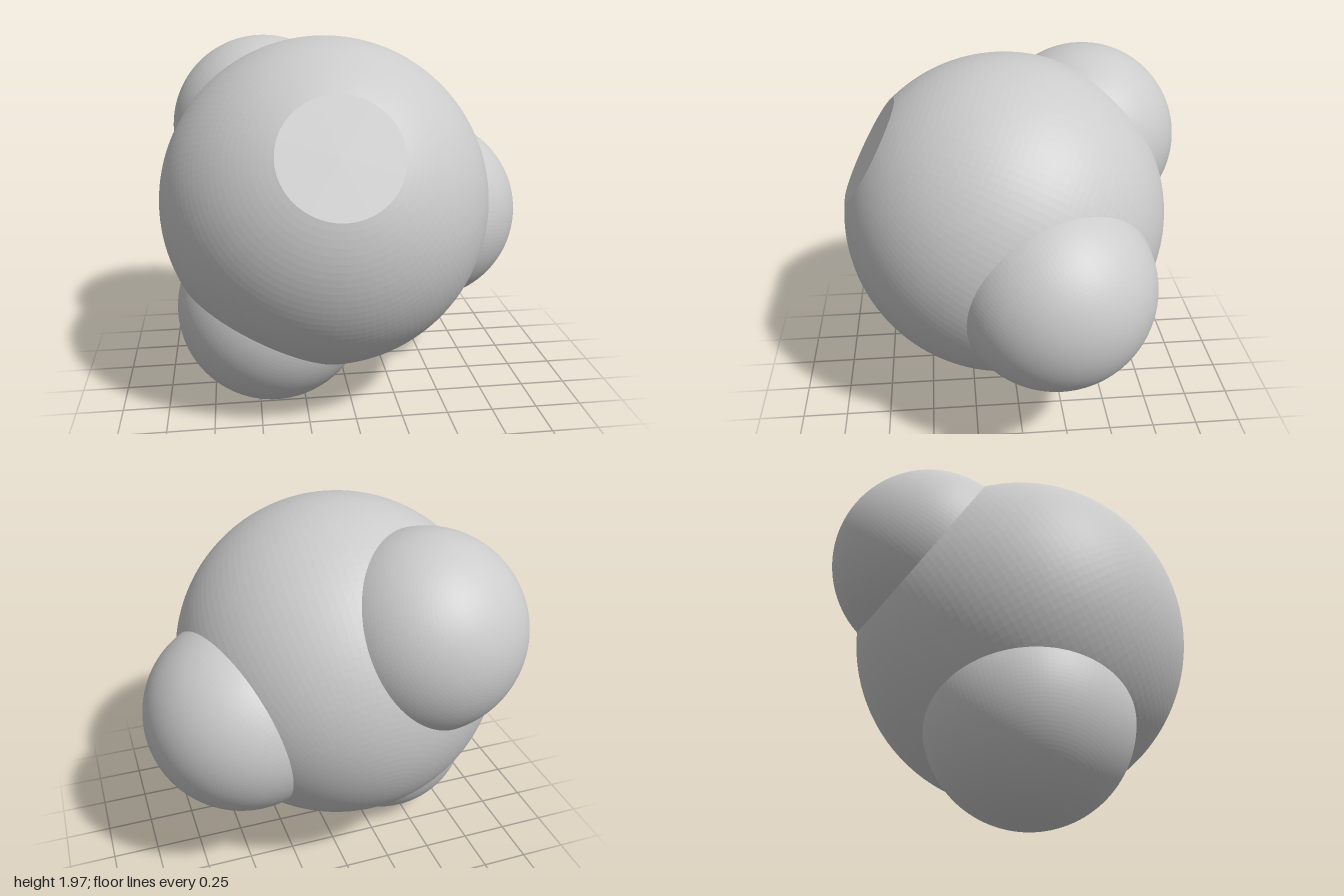
import * as THREE from 'three';

const UP = new THREE.Vector3(0, 1, 0);
const CORE = new THREE.Vector3(-0.115, 1.09, 0.048);
const CORE_R = 0.883;
const ATOM_R = 0.52;

// Arc of a circle from one latitude to another, bottom to top
function arc(radius, from, to, steps) {
  return Array.from({ length: steps + 1 }, (_, i) => {
    const a = from + (to - from) * i / steps;
    return new THREE.Vector2(Math.max(0, radius * Math.cos(a)), radius * Math.sin(a));
  });
}

// Turned part whose axis points along a direction
function turned(name, profile, position, direction) {
  const mesh = new THREE.Mesh(
    new THREE.LatheGeometry(profile, 128),
    new THREE.MeshStandardMaterial({ color: 0xcccccc, flatShading: true })
  );
  mesh.name = name;
  mesh.position.copy(position);
  mesh.quaternion.setFromUnitVectors(UP, direction.clone().normalize());
  return mesh;
}

export function createModel() {
  const group = new THREE.Group();
  group.name = 'molecule';

  // Large central ball, cut flat at the free bond facing forward and up
  const cutAngle = Math.acos(0.302 / CORE_R);
  const profile = arc(CORE_R, -Math.PI / 2, cutAngle, 64);
  profile.push(new THREE.Vector2(0, CORE_R * Math.sin(cutAngle)));
  group.add(turned('centralAtom', profile, CORE, new THREE.Vector3(0, 0.5, 0.866)));

  // Three small atoms: outer domes whose rims are sunk into the central ball
  const atoms = {
    leftAtom: [0.48, 0.96, -0.165],
    lowerRightAtom: [-0.412, 0.52, 0.1],
    backAtom: [-0.412, 1.418, -0.415],
  };
  for (const [name, p] of Object.entries(atoms)) {
    const centre = new THREE.Vector3(...p);
    group.add(turned(name, arc(ATOM_R, 0, Math.PI / 2, 40), centre, centre.clone().sub(CORE)));
  }
  return group;
}
